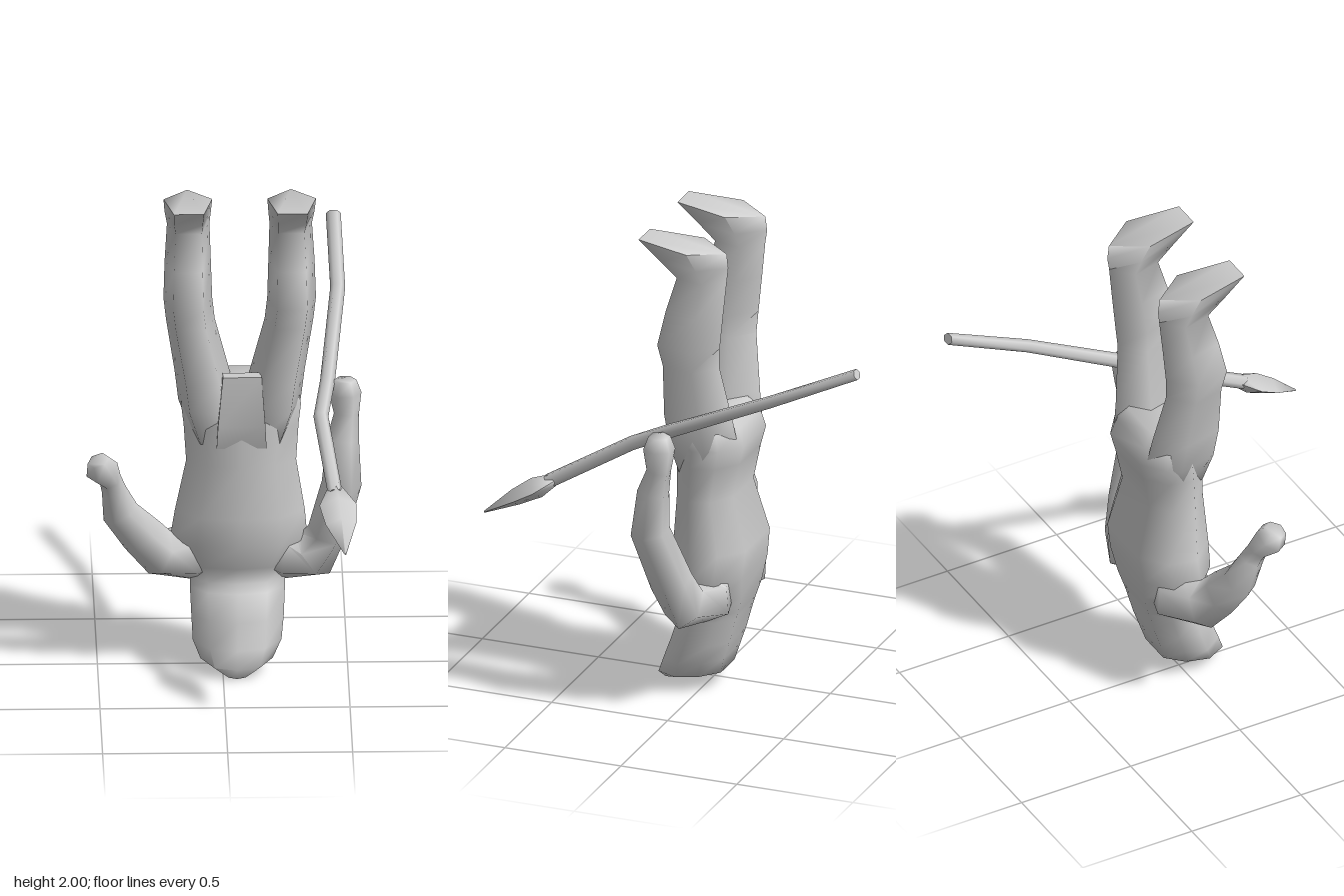
import * as THREE from 'three';
import { toCreasedNormals } from 'three/addons/utils/BufferGeometryUtils.js';

const V = (x, y, z) => new THREE.Vector3(x, y, z);
const material = new THREE.MeshStandardMaterial({ color: 0xcccccc });

// Unit cross-sections as [x, z], running from the front towards +x.
const BODY = [[0, 1], [0.62, 0.84], [1, 0.2], [0.9, -0.5], [0.5, -1],
  [-0.5, -1], [-0.9, -0.5], [-1, 0.2], [-0.62, 0.84]];
const LEG = [[0, -1], [-1, -0.24], [-0.62, 1], [0.62, 1], [1, -0.24]];
const SQUARE = [[1, 1], [1, -1], [-1, -1], [-1, 1]];

// Skin a list of rings (arrays of points) and close both ends.
function skin(name, rings, crease) {
  const n = rings[0].length, pos = [];
  const tri = (...p) => p.forEach(v => pos.push(v.x, v.y, v.z));
  for (let i = 0; i + 1 < rings.length; i++) {
    for (let j = 0; j < n; j++) {
      const k = (j + 1) % n, a = rings[i], b = rings[i + 1];
      tri(a[j], a[k], b[k]);
      tri(a[j], b[k], b[j]);
    }
  }
  const first = rings[0], last = rings[rings.length - 1];
  for (let j = 1; j + 1 < n; j++) {
    tri(first[0], first[j + 1], first[j]);
    tri(last[0], last[j], last[j + 1]);
  }
  const g = new THREE.BufferGeometry();
  g.setAttribute('position', new THREE.Float32BufferAttribute(pos, 3));
  const mesh = new THREE.Mesh(toCreasedNormals(g, crease), material);
  mesh.name = name;
  return mesh;
}

// Upright loft: each row is [y, x0, x1, z0, z1, tilt], listed from low to high.
function loft(name, outline, crease, rows) {
  return skin(name, rows.map(([y, x0, x1, z0, z1, tilt = 0]) => outline.map(([u, w]) =>
    V((x0 + x1 + (x1 - x0) * u) / 2, y + tilt * w / 2, (z0 + z1 + (z1 - z0) * w) / 2))), crease);
}

// Limb along a path: each row is [x, y, z, radius, second radius].
function limb(name, n, ref, rows) {
  const c = rows.map(r => V(r[0], r[1], r[2]));
  return skin(name, rows.map((r, i) => {
    const t = c[Math.min(i + 1, c.length - 1)].clone().sub(c[Math.max(i - 1, 0)]).normalize();
    const u = ref.clone().cross(t).normalize(), v = t.clone().cross(u);
    return Array.from({ length: n }, (_, j) => {
      const a = j * 2 * Math.PI / n;
      return c[i].clone()
        .addScaledVector(u, r[3] * Math.cos(a))
        .addScaledVector(v, (r[4] ?? r[3]) * Math.sin(a));
    });
  }), 1.45);
}

export function createModel() {
  const model = new THREE.Group();
  model.name = 'invertedSpearFigure';

  // Head, hunched neck and torso in one skin, from the crown up to the hips
  model.add(loft('headAndTorso', BODY, 1.5, [
    [0.025, 0.0, 0.11, 0.10, 0.18, -0.05],
    [0.06, -0.09, 0.20, -0.08, 0.205, -0.03],
    [0.13, -0.12, 0.235, -0.10, 0.175, -0.03],
    [0.22, -0.125, 0.245, -0.125, 0.135],
    [0.33, -0.13, 0.25, -0.155, 0.10],
    [0.36, -0.13, 0.25, -0.165, 0.06],
    [0.43, -0.16, 0.28, -0.185, 0.08],
    [0.53, -0.21, 0.34, -0.20, 0.11],
    [0.65, -0.19, 0.33, -0.215, 0.11],
    [0.87, -0.145, 0.295, -0.155, 0.095],
    [1.02, -0.155, 0.305, -0.185, 0.095],
    [1.10, -0.165, 0.315, -0.205, 0.09],
    [1.17, -0.16, 0.30, -0.18, 0.07],
    [1.22, -0.11, 0.25, -0.14, 0.03],
  ]));

  // Loincloth panel
  model.add(loft('loincloth', SQUARE, 0.7, [
    [0.95, -0.025, 0.175, 0.03, 0.085],
    [1.05, -0.02, 0.17, 0.03, 0.11],
    [1.26, 0.0, 0.155, 0.045, 0.10],
  ]));

  // Legs with feet at the top, mirrored about the body's middle
  const legRows = [
    [0.96, -0.12, 0.05, -0.10, 0.06],
    [1.10, -0.175, 0.05, -0.185, 0.085],
    [1.23, -0.19, 0.03, -0.165, 0.10],
    [1.46, -0.225, -0.03, -0.13, 0.09],
    [1.55, -0.235, -0.04, -0.135, 0.11],
    [1.70, -0.23, -0.045, -0.15, 0.075],
    [1.85, -0.22, -0.05, -0.165, 0.03],
    [1.91, -0.23, -0.045, -0.172, 0.10, 0.01],
    [1.98, -0.235, -0.04, -0.165, 0.19, 0.03],
  ];
  model.add(loft('rightLeg', LEG, 1.5, legRows));
  const mid = 0.14;
  model.add(loft('leftLeg', LEG, 1.5,
    legRows.map(([y, a, b, ...rest]) => [y, mid - b, mid - a, ...rest])));

  // Arms with simple fists
  const zRef = V(0, 0, 1);
  model.add(limb('leftArm', 6, zRef, [
    [0.08, 0.51, -0.06, 0.08],
    [0.26, 0.46, -0.06, 0.125],
    [0.37, 0.46, -0.02, 0.105, 0.10],
    [0.42, 0.57, 0.015, 0.08, 0.09],
    [0.475, 0.80, 0.085, 0.08],
    [0.48, 0.98, 0.07, 0.065],
    [0.495, 1.08, 0.04, 0.05],
    [0.49, 1.17, 0.04, 0.065],
    [0.49, 1.225, 0.04, 0.045],
  ]));
  model.add(limb('rightArm', 6, zRef, [
    [0.06, 0.51, -0.06, 0.08],
    [-0.12, 0.46, -0.06, 0.125],
    [-0.25, 0.47, -0.015, 0.10],
    [-0.32, 0.56, 0.025, 0.09, 0.08],
    [-0.41, 0.67, 0.05, 0.075, 0.065],
    [-0.435, 0.78, 0.09, 0.05],
    [-0.45, 0.83, 0.11, 0.045],
    [-0.485, 0.89, 0.15, 0.068],
    [-0.50, 0.935, 0.165, 0.045],
  ]));

  // Bent spear shaft and flattened point
  const yRef = V(0, 1, 0);
  model.add(limb('spearShaft', 6, yRef, [
    [0.46, 1.615, -0.80, 0.03, 0.022],
    [0.47, 1.44, -0.43, 0.03, 0.025],
    [0.42, 1.22, 0.03, 0.03],
    [0.39, 1.13, 0.20, 0.03],
    [0.44, 0.93, 0.54, 0.03],
  ]));
  model.add(limb('spearPoint', 4, yRef, [
    [0.44, 0.945, 0.51, 0.03, 0.025],
    [0.45, 0.90, 0.585, 0.075, 0.045],
    [0.46, 0.85, 0.67, 0.062, 0.035],
    [0.475, 0.77, 0.80, 0.004, 0.004],
  ]));

  return model;
}
